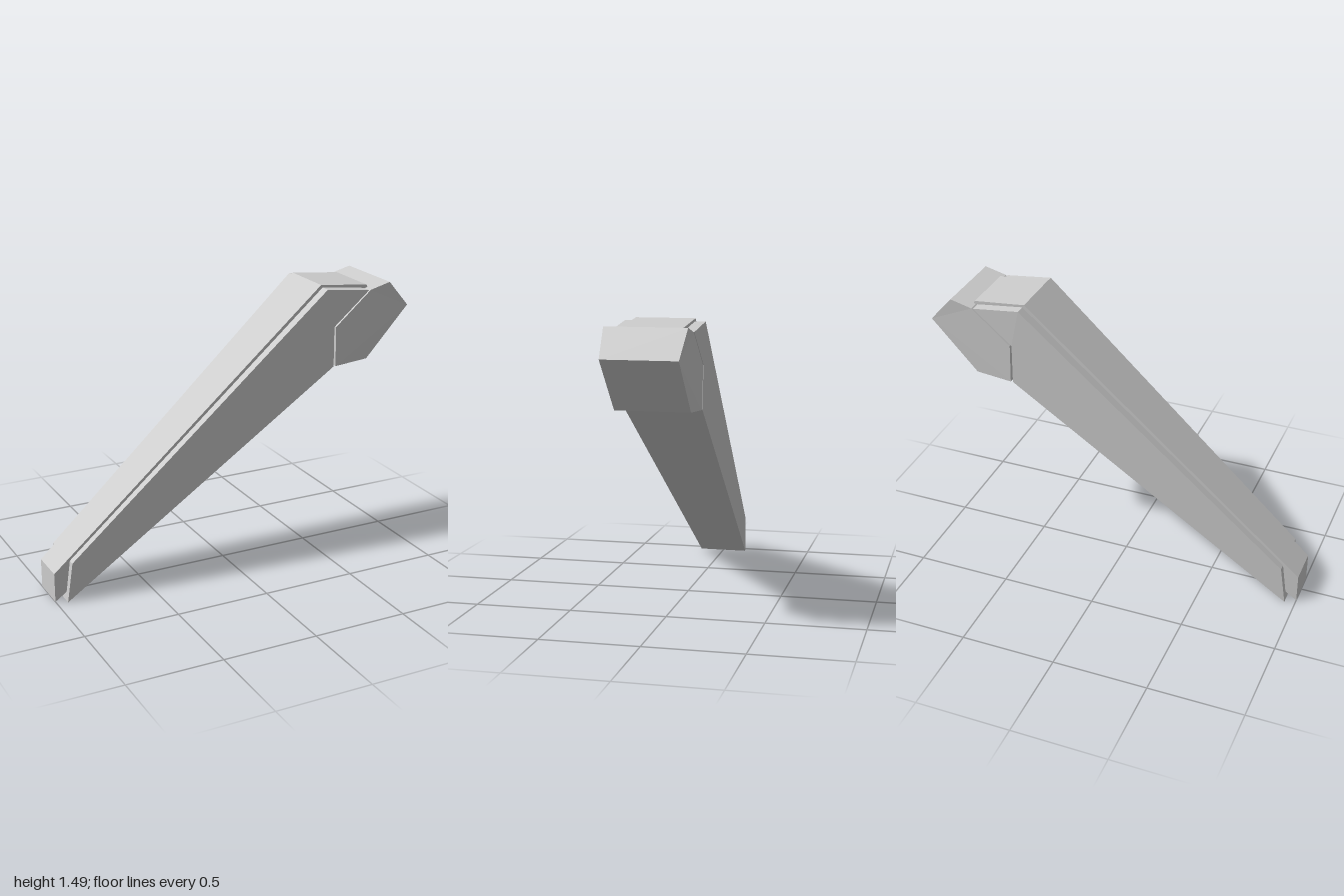
import * as THREE from 'three';

const grey = new THREE.MeshStandardMaterial({ color: 0xcccccc, flatShading: true });
grey.name = 'light grey';

// Solid symmetric about z = 0: counter-clockwise outline of [x, y, half width]
function taperedSolid(name, outline) {
  const n = outline.length;
  const front = outline.map(([x, y, w]) => [x, y, w]);
  const back = outline.map(([x, y, w]) => [x, y, -w]);
  const pos = [];
  const tri = (a, b, c) => pos.push(...a, ...b, ...c);

  // side cheeks
  const contour = outline.map(([x, y]) => new THREE.Vector2(x, y));
  for (const [a, b, c] of THREE.ShapeUtils.triangulateShape(contour, [])) {
    tri(front[a], front[b], front[c]);
    tri(back[a], back[c], back[b]);
  }
  // rim between the cheeks
  for (let i = 0; i < n; i++) {
    const j = (i + 1) % n;
    tri(front[i], back[i], back[j]);
    tri(front[i], back[j], front[j]);
  }
  const geo = new THREE.BufferGeometry();
  geo.setAttribute('position', new THREE.Float32BufferAttribute(pos, 3));
  geo.computeVertexNormals();
  const mesh = new THREE.Mesh(geo, grey);
  mesh.name = name;
  return mesh;
}

export function createModel() {
  const group = new THREE.Group();
  group.name = 'leg';

  // long tapering outer shell
  group.add(taperedSolid('outerShell', [
    [-0.945, 0, 0.133], [0.55, 1.055, 0.195], [0.545, 1.27, 0.2],
    [0.75, 1.443, 0.2], [0.5, 1.474, 0.2], [-0.915, 0.213, 0.138],
  ]));

  // narrower core, showing as a raised spine and at the foot
  group.add(taperedSolid('innerCore', [
    [-1, 0, 0.098], [0.6, 1.13, 0.148], [0.772, 1.445, 0.148],
    [0.765, 1.459, 0.148], [0.49, 1.488, 0.148], [-1, 0.155, 0.098],
  ]));

  // angular joint block at the upper end
  group.add(taperedSolid('jointBlock', [
    [0.562, 1.055, 0.195], [0.755, 1.068, 0.186], [1, 1.332, 0.186],
    [0.875, 1.472, 0.2], [0.76, 1.443, 0.2], [0.555, 1.268, 0.2],
  ]));

  return group;
}
